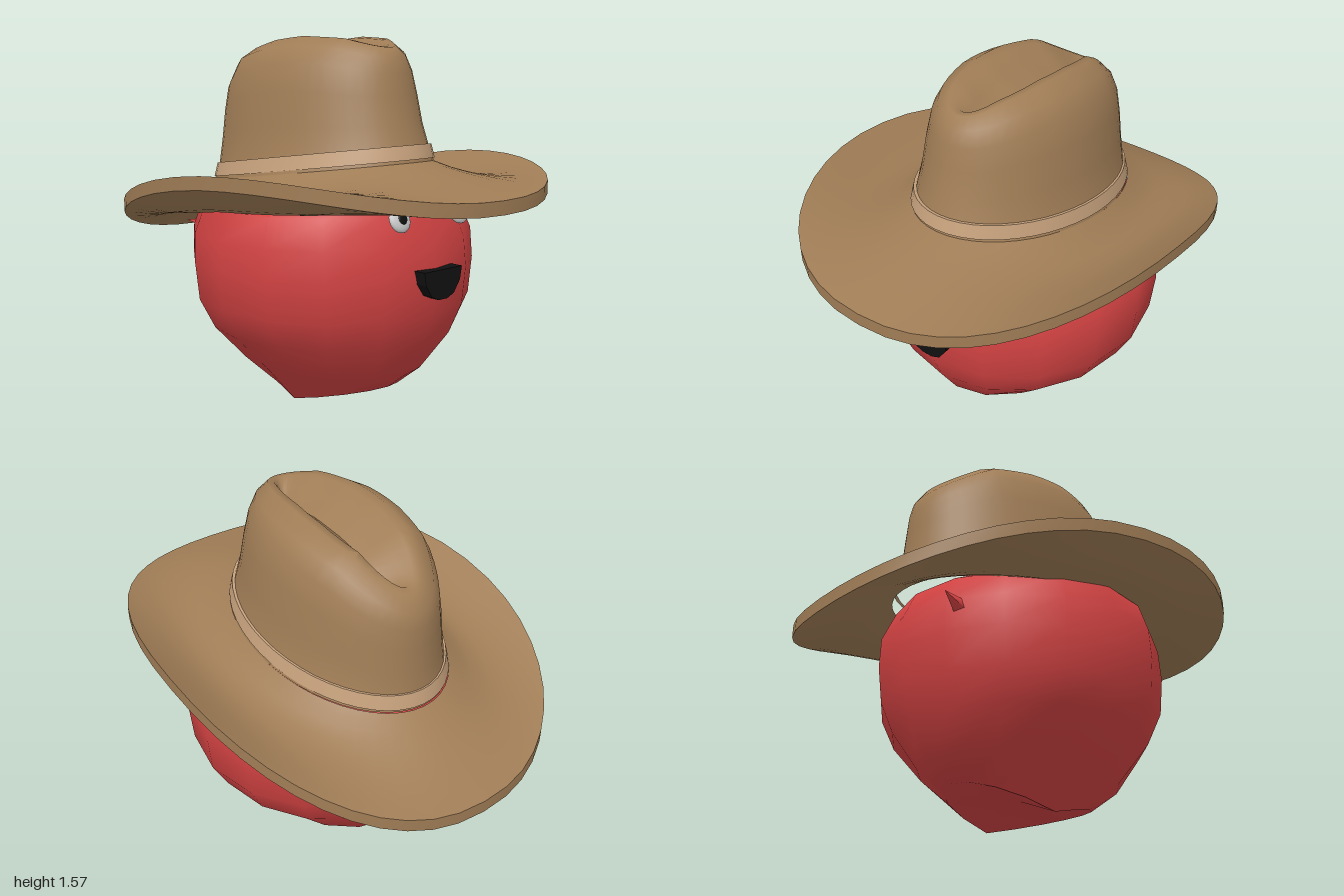
import * as THREE from 'three';
import { toCreasedNormals } from 'three/addons/utils/BufferGeometryUtils.js';

const lerp = THREE.MathUtils.lerp;

// Skin a surface over closed rings of points
function loft(rings, crease) {
  const n = rings[0].length, pos = [], idx = [];
  rings.forEach(r => r.forEach(p => pos.push(...p)));
  for (let i = 0; i < rings.length - 1; i++) {
    for (let j = 0; j < n; j++) {
      const a = i * n + j, b = i * n + (j + 1) % n;
      idx.push(a, a + n, b, b, a + n, b + n);
    }
  }
  const g = new THREE.BufferGeometry();
  g.setAttribute('position', new THREE.Float32BufferAttribute(pos, 3));
  g.setIndex(idx);
  return toCreasedNormals(g, crease);
}

// Elliptical ring between x and z limits; height(x, angle) gives y
function ring(n, x0, x1, z0, z1, height) {
  return Array.from({ length: n }, (_, j) => {
    const a = j / n * Math.PI * 2;
    const x = (x0 + x1) / 2 + Math.cos(a) * (x1 - x0) / 2;
    const z = (z0 + z1) / 2 + Math.sin(a) * (z1 - z0) / 2;
    return [x, height(x, a), z];
  });
}

// Height along x through a list of [x, y] points
function profile(points, x) {
  let i = 1;
  while (i < points.length - 1 && x > points[i][0]) i++;
  const [xa, ya] = points[i - 1], [xb, yb] = points[i];
  return lerp(ya, yb, (x - xa) / (xb - xa));
}

const hatBase = x => 1.0 + 0.135 * x;
const brimEdge = x => 1.03 + 0.14 * x - 0.2 * x * x;
const crownTop = x => profile([[-0.58, 1.34], [-0.52, 1.39], [-0.32, 1.52], [-0.12, 1.56],
  [0.05, 1.575], [0.25, 1.565], [0.42, 1.52]], x);
const soften = v => Math.sign(v) * Math.pow(Math.abs(v), 0.9);

export function createModel() {
  const model = new THREE.Group();
  const add = (name, geometry, color, parent = model) => {
    const mesh = new THREE.Mesh(geometry, new THREE.MeshStandardMaterial({ color }));
    mesh.name = name;
    parent.add(mesh);
    return mesh;
  };

  // Head: faceted ball ending in two points with a notch between them
  const N = 16;
  const headRings = [
    ring(N, 0.02, 0.02, -0.02, -0.02, () => 0.09),
    ring(N, -0.34, 0.38, -0.24, 0.2, (x, a) => 0.095 * Math.abs(Math.cos(a))),
  ];
  [[0.17, -0.45, 0.48, -0.37, 0.35], [0.33, -0.535, 0.58, -0.55, 0.51],
    [0.46, -0.585, 0.63, -0.62, 0.58], [0.62, -0.605, 0.645, -0.635, 0.595],
    [0.75, -0.6, 0.63, -0.632, 0.592], [0.87, -0.55, 0.59, -0.57, 0.55],
    [0.94, -0.44, 0.555, -0.4, 0.4], [1.0, -0.25, 0.48, -0.25, 0.22],
    [1.01, 0.1, 0.1, 0, 0]].forEach(([y, ...lim]) => headRings.push(ring(N, ...lim, () => y)));
  add('head', loft(headRings, 0.75), 0xd24242);

  // Two small spikes on the head, under the brim
  [[[-0.5, 0.72, 0.24], [-0.63, 0.73, 0.31]], [[0.2, 0.85, -0.5], [0.22, 0.885, -0.6]]]
    .forEach(([base, tip]) => {
      const from = new THREE.Vector3(...base), dir = new THREE.Vector3(...tip).sub(from);
      const length = dir.length();
      const spike = add('headSpike', new THREE.ConeGeometry(0.04, length, 4)
        .translate(0, length / 2, 0), 0xd24242);
      spike.position.copy(from);
      spike.quaternion.setFromUnitVectors(new THREE.Vector3(0, 1, 0), dir.normalize());
    });

  // Eyes and pupils, tilted to lie on the brow
  [0.135, -0.21].forEach((z, i) => {
    const eye = new THREE.Group();
    eye.name = i ? 'rightEye' : 'leftEye';
    eye.position.set(0.588, 0.862, z);
    eye.rotation.z = -Math.PI / 2 + 0.38;
    add('eyeball', new THREE.SphereGeometry(0.054, 20, 12).scale(1, 0.4, 1), 0xcccccc, eye);
    add('pupil', new THREE.SphereGeometry(0.024, 16, 10).scale(1, 0.3, 1), 0x101010, eye)
      .position.y = 0.018;
    model.add(eye);
  });

  // Open mouth: flat top and rounded bottom
  const mouthShape = new THREE.Shape([[-0.08, 0.655], [-0.07, 0.6], [-0.035, 0.55], [0.005, 0.533],
    [0.055, 0.533], [0.095, 0.55], [0.13, 0.6], [0.14, 0.655]].map(p => new THREE.Vector2(...p)));
  const mouth = add('mouth', new THREE.ExtrudeGeometry(mouthShape,
    { depth: 0.055, bevelEnabled: false }), 0x111111);
  mouth.rotation.y = Math.PI / 2;
  mouth.position.x = 0.62;

  // Hat brim: saddle curve with the sides rolled up, thicker under the front
  const M = 48, brimRings = [];
  const brimRing = (t, drop) => Array.from({ length: M }, (_, j) => {
    const a = j / M * Math.PI * 2, c = Math.cos(a), s = Math.sin(a);
    const xe = soften(c) * 0.998, xi = -0.04 + c * 0.58;
    const dip = 0.09 * s * s * Math.sin(Math.PI * Math.pow(t, 0.8));
    const thickness = drop * (1 + 1.7 * (1 - t) * Math.max(0, c));
    return [lerp(xi, xe, t), lerp(hatBase(xi), brimEdge(xe), t) - dip - thickness,
      lerp(0.39 * s, 0.785 * soften(s), t)];
  });
  const steps = [0, 0.15, 0.3, 0.45, 0.6, 0.75, 0.9, 1];
  steps.forEach(t => brimRings.push(brimRing(t, 0.055)));
  [...steps].reverse().forEach(t => brimRings.push(brimRing(t, 0)));
  add('hatBrim', loft(brimRings, 0.8), 0xa07d56);

  // Hat crown: tapering wall, rounded shoulder, long crease in the top
  const crownRings = [[0, -0.615, 0.54, 0.39], [0.15, -0.6, 0.52, 0.36], [0.35, -0.59, 0.49, 0.34],
    [0.6, -0.582, 0.465, 0.32], [0.8, -0.577, 0.445, 0.293], [0.93, -0.565, 0.425, 0.247],
    [1, -0.52, 0.39, 0.175]].map(([s, x0, x1, z]) =>
    ring(M, x0, x1, -z, z, x => lerp(hatBase(x), crownTop(x), s)));
  [[0.005, -0.49, 0.36, -0.135, 0.13], [0.05, -0.45, 0.32, -0.1, 0.06],
    [0.1, -0.4, 0.27, -0.035, -0.035]].forEach(([drop, ...lim]) =>
    crownRings.push(ring(M, ...lim, x => crownTop(x) - drop)));
  add('hatCrown', loft(crownRings, 1.0), 0xa07d56);

  // Hat band around the foot of the crown
  const bandRings = [[0.0, 0], [0.015, 0], [0.0, 0.06], [-0.03, 0.06]].map(([out, up]) =>
    ring(M, -0.605 - out, 0.53 + out, -0.375 - out, 0.375 + out, x => hatBase(x) + 0.012 + up));
  add('hatBand', loft(bandRings, 0.6), 0xc6a17c);

  return model;
}
